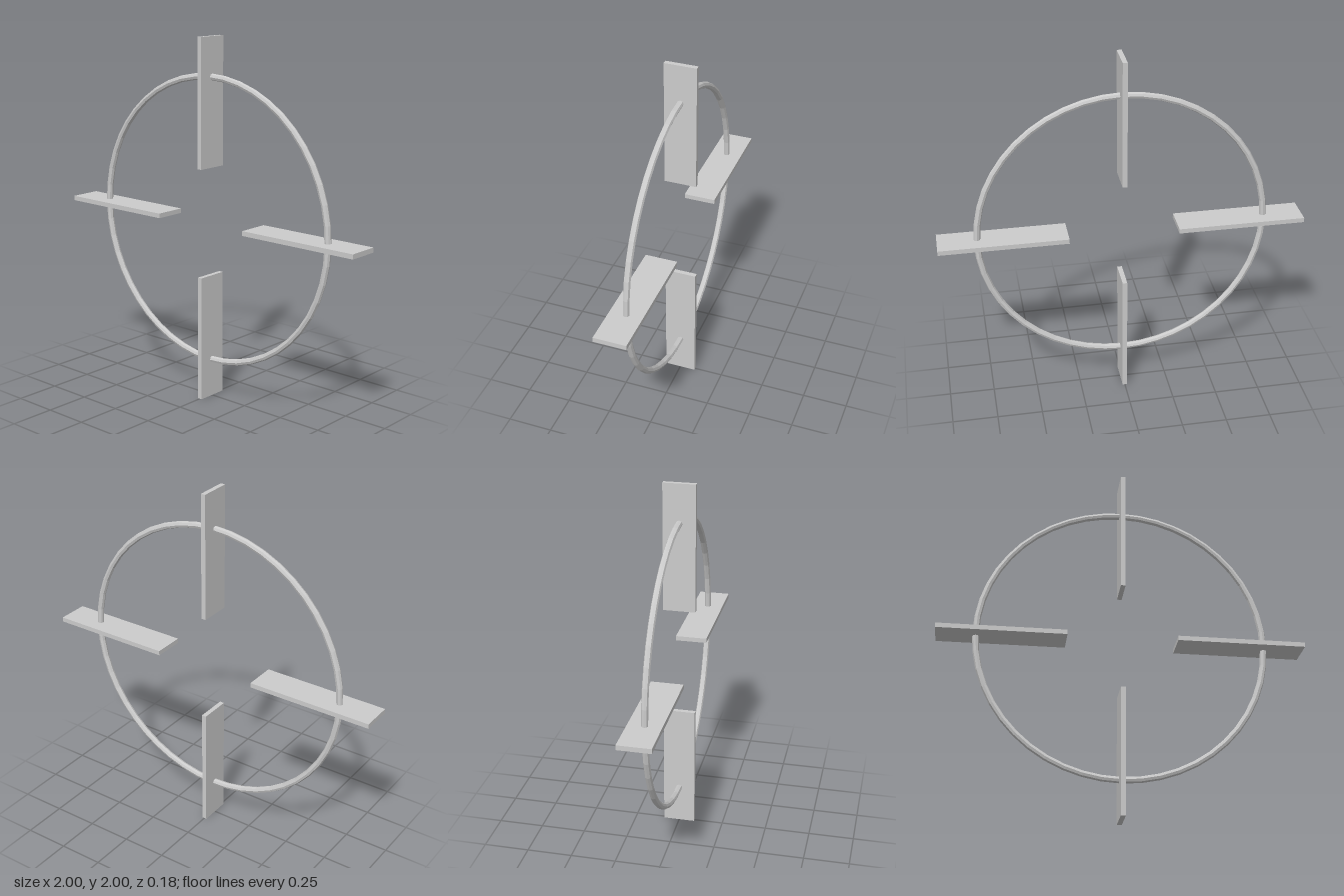
import * as THREE from 'three';

export function createModel() {
  const group = new THREE.Group();
  group.name = 'crosshair';
  const material = new THREE.MeshStandardMaterial({ color: 0xcccccc, flatShading: true });

  // Thin upright ring facing the front
  const ring = new THREE.Mesh(new THREE.TorusGeometry(0.787, 0.018, 8, 48), material);
  ring.name = 'ring';
  ring.position.y = 1;
  group.add(ring);

  // Four flat bars crossing the ring radially, a quarter turn apart
  const barGeometry = new THREE.BoxGeometry(0.7, 0.026, 0.176);
  ['leftBar', 'topBar', 'rightBar', 'bottomBar'].forEach((name, i) => {
    const angle = (i * Math.PI) / 2;
    const bar = new THREE.Mesh(barGeometry, material);
    bar.name = name;
    bar.position.set(0.65 * Math.cos(angle), 1 + 0.65 * Math.sin(angle), 0);
    bar.rotation.z = angle;
    group.add(bar);
  });

  return group;
}
